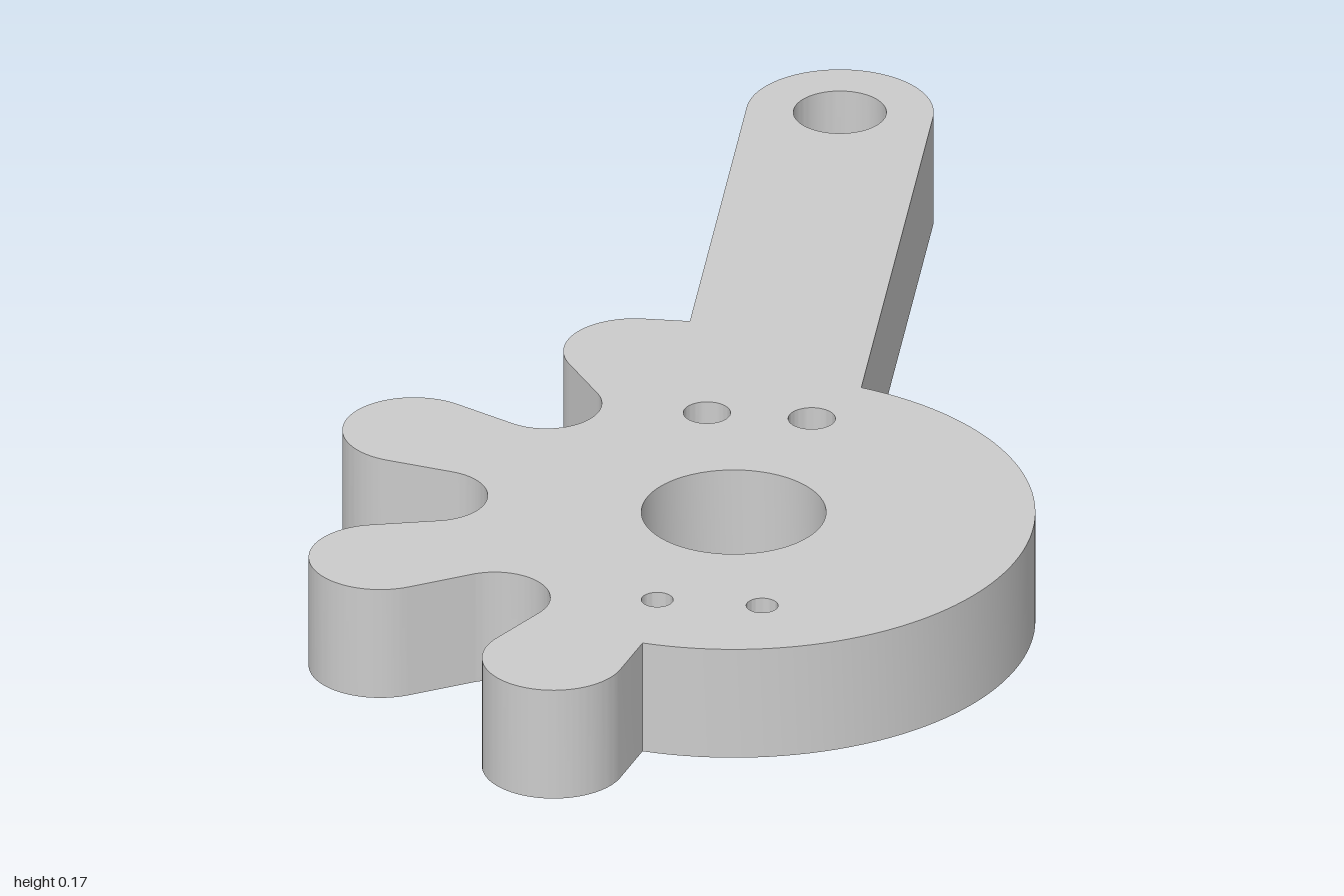
import * as THREE from 'three';
import { toCreasedNormals } from 'three/addons/utils/BufferGeometryUtils.js';

const THICKNESS = 0.175;
const HUB = { x: 0.076, y: -0.407, r: 0.434 }; // plan coordinates: y points to the back (-z)
const LOBE = { dist: 0.528, r: 0.103 };
const VALLEY = { dist: 0.437, r: 0.08 };
const ARM = { half: 0.135, endY: 0.865 };
const rad = THREE.MathUtils.degToRad;

// Point at a distance and angle from the hub centre
const polar = (dist, a) => new THREE.Vector2(HUB.x + dist * Math.cos(a), HUB.y + dist * Math.sin(a));

// Half sweep of a lobe's round tip, up to the straight flank touching the next valley
function lobeHalfSweep() {
  const d = polar(VALLEY.dist, rad(22.5)).sub(polar(LOBE.dist, 0));
  return Math.atan2(d.y, d.x) - Math.acos((LOBE.r + VALLEY.r) / d.length());
}

function plateOutline() {
  const s = new THREE.Shape();
  const sweep = lobeHalfSweep();
  const right = HUB.x + ARM.half, left = HUB.x - ARM.half;
  const joint = Math.acos(ARM.half / HUB.r);

  // Arm with a rounded end
  s.moveTo(right, HUB.y + HUB.r * Math.sin(joint));
  s.lineTo(right, ARM.endY);
  s.absarc(HUB.x, ARM.endY, ARM.half, 0, Math.PI, false);
  s.lineTo(left, polar(LOBE.dist, rad(112.5)).y + LOBE.r);

  // Four round lobes with round valleys between them
  for (let i = 0; i < 4; i++) {
    const a = rad(112.5 + 45 * i);
    const c = polar(LOBE.dist, a);
    s.absarc(c.x, c.y, LOBE.r, i === 0 ? Math.PI / 2 : a - sweep, a + sweep, false);
    if (i < 3) {
      const mid = a + rad(22.5);
      const v = polar(VALLEY.dist, mid);
      const from = a + sweep - Math.PI;
      s.absarc(v.x, v.y, VALLEY.r, from, 2 * (mid - Math.PI) - from, true);
    }
  }

  // Round side of the hub, back to the arm
  s.absarc(HUB.x, HUB.y, HUB.r, rad(-100.7), joint, false);
  s.closePath();
  return s;
}

export function createModel() {
  const group = new THREE.Group();
  group.name = 'leverPlate';
  const shape = plateOutline();

  // Pivot hole, shaft hole and the four small mounting holes
  const holes = [
    [HUB.x, ARM.endY, 0.067],
    [HUB.x, HUB.y, 0.133],
    [HUB.x - 0.076, -0.1, 0.034], [HUB.x + 0.076, -0.1, 0.034],
    [HUB.x - 0.076, -0.695, 0.023], [HUB.x + 0.076, -0.695, 0.023],
  ];
  for (const [x, y, r] of holes) {
    shape.holes.push(new THREE.Path().absarc(x, y, r, 0, Math.PI * 2, true));
  }

  const extruded = new THREE.ExtrudeGeometry(shape, { depth: THICKNESS, bevelEnabled: false, curveSegments: 32 });
  extruded.rotateX(-Math.PI / 2);
  const plate = new THREE.Mesh(
    toCreasedNormals(extruded, rad(25)),
    new THREE.MeshStandardMaterial({ color: 0xcccccc })
  );
  plate.name = 'lobedPlateWithArm';
  group.add(plate);
  return group;
}
